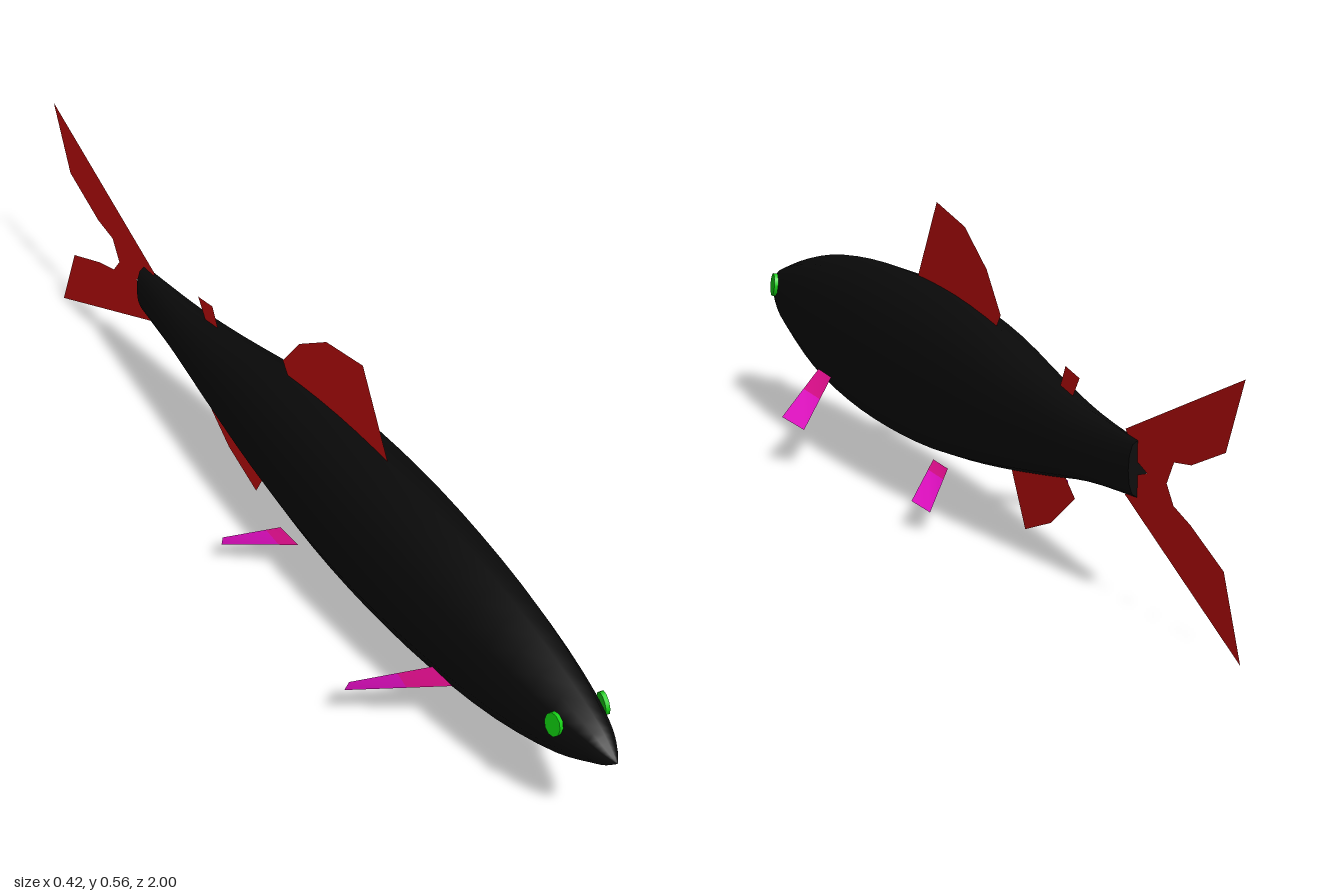
import * as THREE from 'three';

const material = (name, color, side = THREE.FrontSide) => {
  const m = new THREE.MeshStandardMaterial({ color, side });
  m.name = name;
  return m;
};

// Body stations from nose to tail: z, top y, bottom y, half width
const STATIONS = [
  [1, 0.247, 0.243, 0.002], [0.98, 0.264, 0.226, 0.016], [0.95, 0.285, 0.21, 0.03],
  [0.87, 0.317, 0.17, 0.052], [0.7, 0.364, 0.119, 0.077], [0.5, 0.394, 0.089, 0.091],
  [0.3, 0.405, 0.08, 0.097], [0.1, 0.4, 0.086, 0.092], [-0.1, 0.375, 0.112, 0.079],
  [-0.3, 0.333, 0.147, 0.057], [-0.45, 0.308, 0.175, 0.04], [-0.635, 0.295, 0.193, 0.018],
];

function bodyGeometry() {
  const sides = 12, steps = 33;
  const edge = (k) => new THREE.CatmullRomCurve3(
    STATIONS.map((s) => new THREE.Vector3(s[k], 0, s[0])));
  const middle = new THREE.CatmullRomCurve3(
    STATIONS.map((s) => new THREE.Vector3(s[3], (s[1] + s[2]) / 2, s[0])));
  const top = edge(1), bottom = edge(2);
  const pos = [], index = [];
  const addRing = (t) => {
    const m = middle.getPoint(t);
    const half = (top.getPoint(t).x - bottom.getPoint(t).x) / 2;
    for (let j = 0; j < sides; j++) {
      const a = (j / sides) * Math.PI * 2, s = Math.sin(a);
      // Slightly squared oval
      const x = Math.abs(s) < 1e-6 ? 0 : Math.sign(s) * Math.abs(s) ** 0.83;
      pos.push(x * m.x, m.y + half * Math.cos(a), m.z);
    }
  };
  for (let i = 0; i <= steps; i++) addRing(i / steps);
  for (let i = 0; i < steps; i++) {
    for (let j = 0; j < sides; j++) {
      const k = (j + 1) % sides;
      const a = i * sides + j, b = i * sides + k, c = a + sides, d = b + sides;
      index.push(a, b, c, b, d, c);
    }
  }
  // Nose and tail caps; the tail has its own ring for a crisp edge
  const tail = pos.length / 3;
  addRing(1);
  for (let j = 1; j < sides - 1; j++) {
    index.push(tail, tail + j, tail + j + 1);
    index.push(0, j + 1, j);
  }
  const geo = new THREE.BufferGeometry();
  geo.setAttribute('position', new THREE.Float32BufferAttribute(pos, 3));
  geo.setIndex(index);
  geo.computeVertexNormals();
  return geo;
}

// Flat fin on the centre plane from [z, y] points
function centreFin(name, points, mat) {
  const shape = new THREE.Shape(points.map(([z, y]) => new THREE.Vector2(z, y)));
  const mesh = new THREE.Mesh(new THREE.ShapeGeometry(shape).rotateY(-Math.PI / 2), mat);
  mesh.name = name;
  return mesh;
}

// Flat four-cornered panel
function panel(corners, mat) {
  const geo = new THREE.BufferGeometry();
  geo.setAttribute('position', new THREE.Float32BufferAttribute(
    corners.flatMap((v) => v.toArray()), 3));
  geo.setIndex([0, 1, 2, 0, 2, 3]);
  geo.computeVertexNormals();
  return new THREE.Mesh(geo, mat);
}

// Side fin: a pinker root and a purple tip
function sideFin(name, corners, split, rootMat, tipMat) {
  const [rootA, tipA, tipB, rootB] = corners.map((c) => new THREE.Vector3(...c));
  const midA = rootA.clone().lerp(tipA, split), midB = rootB.clone().lerp(tipB, split);
  const fin = new THREE.Group();
  const root = panel([rootA, midA, midB, rootB], rootMat);
  const tip = panel([midA, tipA, tipB, midB], tipMat);
  root.name = name + 'Root';
  tip.name = name + 'Tip';
  fin.add(root, tip);
  return fin;
}

export function createModel() {
  const black = material('bodyBlack', 0x0a0a0a);
  const green = material('eyeGreen', 0x10d010);
  const red = material('finRed', 0xcc0e0e, THREE.DoubleSide);
  const purple = material('finMagenta', 0xd60cb8, THREE.DoubleSide);
  const pink = material('finRootPink', 0xd20c84, THREE.DoubleSide);

  const fish = new THREE.Group();
  fish.name = 'fish';
  const body = new THREE.Mesh(bodyGeometry(), black);
  body.name = 'body';
  fish.add(body);

  // Fins along the centre plane
  fish.add(
    centreFin('dorsalFin', [[0.28, 0.39], [0.185, 0.565], [0.06, 0.54], [-0.035, 0.477],
      [-0.095, 0.402], [-0.065, 0.36]], red),
    centreFin('adiposeFin', [[-0.335, 0.315], [-0.36, 0.365], [-0.415, 0.355], [-0.385, 0.31]], red),
    centreFin('analFin', [[-0.137, 0.13], [-0.2, 0.02], [-0.305, 0.06], [-0.4, 0.13],
      [-0.35, 0.17]], red),
    centreFin('tailFin', [[-0.59, 0.305], [-1, 0.485], [-0.94, 0.348], [-0.825, 0.298],
      [-0.765, 0.288], [-0.74, 0.245], [-0.765, 0.212], [-0.825, 0.194], [-0.94, 0.145],
      [-1, 0], [-0.59, 0.187], [-0.63, 0.232], [-0.67, 0.245], [-0.63, 0.258]], red),
  );

  // Paired fins and eyes
  for (const [side, sign] of [['left', 1], ['right', -1]]) {
    const pectoral = sideFin(side + 'PectoralFin', [[0.071, 0.152, 0.605], [0.209, 0.1, 0.465],
      [0.177, 0.078, 0.43], [0.071, 0.149, 0.54]], 0.42, pink, purple);
    const pelvic = sideFin(side + 'PelvicFin', [[0.064, 0.095, 0.065], [0.163, 0.056, -0.053],
      [0.141, 0.04, -0.087], [0.064, 0.093, 0]], 0.25, pink, purple);
    const eye = new THREE.Mesh(
      new THREE.CylinderGeometry(1, 1, 0.008, 10).rotateZ(-Math.PI / 2).scale(1, 0.024, 0.019), green);
    eye.position.set(0.0515, 0.269, 0.885);
    eye.rotation.set(0, -0.17, 0.1);
    const eyeSide = new THREE.Group();
    eyeSide.add(eye);
    const parts = { PectoralFin: pectoral, PelvicFin: pelvic, Eye: eyeSide };
    for (const [label, part] of Object.entries(parts)) {
      part.name = side + label;
      part.scale.x = sign;
      fish.add(part);
    }
  }
  return fish;
}
